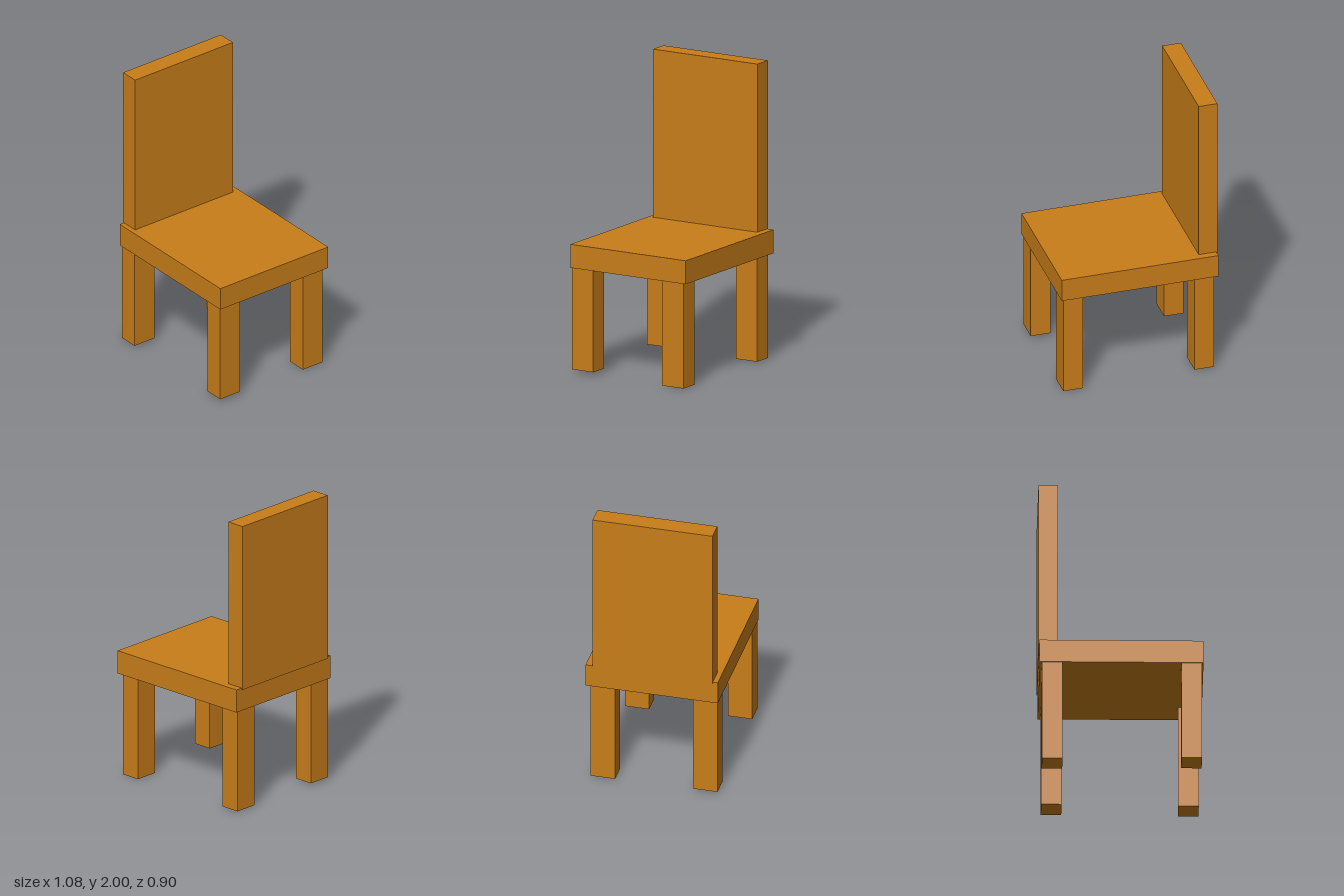
import * as THREE from 'three';

const wood = new THREE.MeshStandardMaterial({ color: 0xc87d1a, flatShading: true });

// Box given by its extents along each axis
function block(name, [x0, x1], [y0, y1], [z0, z1]) {
  const mesh = new THREE.Mesh(new THREE.BoxGeometry(x1 - x0, y1 - y0, z1 - z0), wood);
  mesh.position.set((x0 + x1) / 2, (y0 + y1) / 2, (z0 + z1) / 2);
  mesh.name = name;
  return mesh;
}

export function createModel() {
  const chair = new THREE.Group();
  chair.name = 'chair';

  // Seat slab and upright back panel
  chair.add(block('seat', [-0.535, 0.54], [0.71, 0.868], [-0.45, 0.446]));
  chair.add(block('backrest', [-0.543, -0.415], [0.857, 2], [-0.4, 0.412]));

  // Four legs, slightly uneven in placement and length
  const legs = [
    ['legLeftFront', 0.395, 0.025, 0.275],
    ['legLeftRear', 0.385, 0, -0.42],
    ['legRightFront', -0.52, 0.015, 0.275],
    ['legRightRear', -0.515, 0.005, -0.42],
  ];
  for (const [name, x, bottom, z] of legs) {
    chair.add(block(name, [x, x + 0.135], [bottom, 0.712], [z, z + 0.165]));
  }
  return chair;
}
